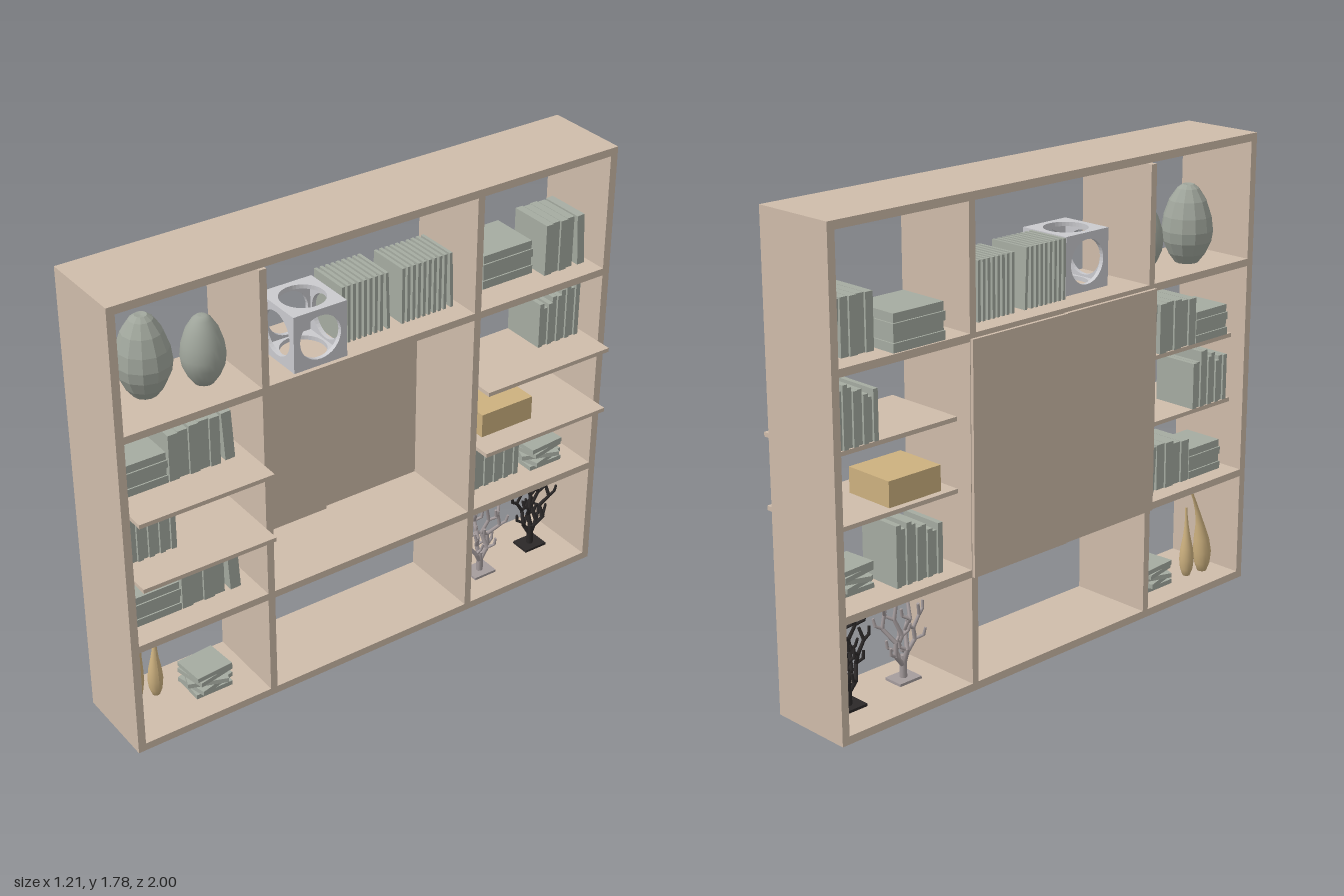
import * as THREE from 'three';
import { mergeGeometries } from 'three/addons/utils/BufferGeometryUtils.js';

const mat = (name, color) => {
  const m = new THREE.MeshStandardMaterial({ color });
  m.name = name;
  return m;
};

export function createModel() {
  const wood = mat('pale wood', 0xcfbcaa);
  const paper = mat('grey green', 0xa5aba1);
  const glaze = mat('vase grey', 0x9fa59b);
  const white = mat('light grey', 0xcacace);
  const gold = mat('gold', 0xcdb17f);
  const silver = mat('silver coral', 0xa59c9d);
  const black = mat('black coral', 0x2b2828);

  // Unit is built along x with its open front on +z, then turned
  const unit = new THREE.Group();
  unit.name = 'shelfUnit';
  const add = (name, geo, material, parent = unit) => {
    const m = new THREE.Mesh(geo, material);
    m.name = name;
    parent.add(m);
    return m;
  };
  const box = (name, x0, x1, y0, y1, z0, z1, material, parent) => {
    const m = add(name, new THREE.BoxGeometry(x1 - x0, y1 - y0, z1 - z0), material, parent);
    m.position.set((x0 + x1) / 2, (y0 + y1) / 2, (z0 + z1) / 2);
    return m;
  };
  const group = (name) => {
    const g = new THREE.Group();
    g.name = name;
    unit.add(g);
    return g;
  };

  // Carcass
  const D = 0.167, L = 1.025;
  box('topPanel', -L, L, 1.75, 1.78, -D, D, wood);
  box('bottomPanel', -L, L, 0, 0.03, -D, D, wood);
  for (const s of [-1, 1]) box('endPanel', s * 1.01 - 0.015, s * 1.01 + 0.015, 0.03, 1.75, -D, D, wood);
  box('rightDivider', -0.474, -0.446, 0.03, 1.742, -D, D, wood);
  box('leftDivider', 0.407, 0.435, 0.03, 1.75, -D, D, wood);
  const bays = [[-0.995, -0.474], [-0.446, 0.407], [0.435, 0.995]];
  for (const [a, b] of bays)
    for (const y of [0.432, 1.276]) box('fixedShelf', a, b, y, y + 0.028, -D, D, wood);

  // Thin shelves that project at the front
  for (const i of [0, 2])
    for (const y of [0.724, 0.984]) box('slidingShelf', bays[i][0], bays[i][1], y, y + 0.016, -0.1, 0.23, wood);

  // Back doors, one set behind the other
  box('nearDoor', -0.474, -0.012, 0.436, 1.288, -0.18, -0.152, wood);
  box('farDoor', -0.012, 0.437, 0.436, 1.288, -0.184, -0.172, wood);

  // Row of upright books, the last one may lean
  const uprightBooks = (x0, x1, y, z0, z1, heights, lean = 0) => {
    const g = group('uprightBooks'), step = (x1 - x0) / heights.length;
    heights.forEach((h, i) => {
      const a = x0 + i * step, dz = (i % 2) * 0.006;
      const b = box('book', a + 0.001, a + step - 0.001, y, y + h, z0 + dz, z1 - dz, paper, g);
      if (lean && i === heights.length - 1) {
        b.rotation.z = lean;
        b.position.x += 0.014;
      }
    });
  };
  uprightBooks(0.783, 0.95, 1.304, -0.09, 0.09, [0.2, 0.2, 0.2, 0.2, 0.2], 0.06);
  uprightBooks(-0.786, -0.545, 1, -0.1, 0.07, [0.18, 0.18, 0.19, 0.19, 0.19, 0.19], 0.06);
  uprightBooks(-0.765, -0.545, 0.46, -0.1, 0.07, [0.165, 0.165, 0.18, 0.18, 0.18], 0.06);
  const jagged = [0.18, 0.155, 0.17, 0.19, 0.19, 0.205, 0.22, 0.2, 0.22];
  uprightBooks(-0.975, -0.78, 0.74, -0.1, 0.085, [0.18, 0.18, 0.165, 0.2, 0.19, 0.22, 0.22, 0.18, 0.18]);
  uprightBooks(0.78, 0.97, 1, -0.1, 0.08, jagged);
  uprightBooks(0.515, 0.725, 0.46, -0.11, 0.066, jagged.map((h) => h + 0.005));

  // Ribbed rows: covers stand proud of the pages
  const ribbedBooks = (x0, y, n, h) => {
    const g = group('ribbedBooks'), p = 0.0225;
    for (let i = 0; i < n; i++) {
      const a = x0 + i * p;
      box('cover', a, a + 0.012, y, y + h, -0.09, 0.08, paper, g);
      box('pages', a + 0.012, a + p, y + 0.004, y + h - 0.008, -0.068, 0.056, paper, g);
    }
    const end = box('cover', x0 + n * p + 0.004, x0 + n * p + 0.016, y, y + h, -0.09, 0.08, paper, g);
    end.rotation.z = 0.04;
  };
  ribbedBooks(-0.095, 1.304, 8, 0.22);
  ribbedBooks(0.155, 1.304, 9, 0.215);

  // Flat book piles: neat blocks and loosely turned stacks
  const pile = (x0, x1, y, z0, z1, h, n, twist = 0) => {
    const g = group('bookPile'), t = h / n;
    for (let i = 0; i < n; i++) {
      const inset = twist ? 0 : (i % 2) * 0.004;
      const b = box('flatBook', x0 + inset, x1 - inset, y + i * t, y + (i + 1) * t - 0.001, z0 + inset, z1 - inset, paper, g);
      b.rotation.y = twist * Math.sin(i * 2.3);
    }
  };
  pile(0.537, 0.762, 1.304, -0.16, 0.045, 0.132, 4);
  pile(-0.97, -0.79, 1, -0.1, 0.07, 0.12, 4);
  pile(-0.95, -0.768, 0.46, -0.1, 0.07, 0.12, 4);
  pile(-0.725, -0.575, 0.03, -0.065, 0.065, 0.095, 5, 0.35);
  pile(0.77, 0.92, 0.46, -0.045, 0.085, 0.095, 5, 0.35);

  // Gold storage box
  box('goldBox', 0.49, 0.722, 0.74, 0.835, -0.075, 0.13, gold);

  // Rounded vases
  const vase = (x, z, r, h, sides, faceted) => {
    const pts = [[0, 0], [0.45, 0], [0.72, 0.12], [0.94, 0.28], [1, 0.42], [0.93, 0.6], [0.72, 0.8], [0.42, 0.95], [0.22, 1], [0, 0.99]]
      .map(([a, b]) => new THREE.Vector2(a * r, b * h));
    let geo = new THREE.LatheGeometry(pts, sides);
    if (faceted) {
      geo = geo.toNonIndexed();
      geo.computeVertexNormals();
    }
    add('roundVase', geo, glaze).position.set(x, 1.304, z);
  };
  vase(-0.803, -0.03, 0.098, 0.295, 12, true);
  vase(-0.605, 0.015, 0.078, 0.25, 24, false);

  // Slender gold bottles with bent necks
  const bottle = (x, z, r, h, bend) => {
    const pts = [[0, 0], [0.5, 0], [0.85, 0.1], [1, 0.24], [0.85, 0.4], [0.5, 0.58], [0.27, 0.75], [0.17, 0.9], [0.15, 1], [0, 1]]
      .map(([a, b]) => new THREE.Vector2(a * r, b * h));
    const geo = new THREE.LatheGeometry(pts, 16), p = geo.attributes.position;
    for (let i = 0; i < p.count; i++) p.setX(i, p.getX(i) + bend * (p.getY(i) / h) ** 2.5);
    geo.computeVertexNormals();
    add('slenderBottle', geo, gold).position.set(x, 0.03, z);
  };
  bottle(-0.91, -0.06, 0.036, 0.34, -0.0 + 0.07);
  bottle(-0.828, -0.05, 0.029, 0.285, 0.01);

  // Hollow cube with a round opening in every face
  const S = 0.214, T = 0.016;
  const face = new THREE.Shape([[-1, -1], [1, -1], [1, 1], [-1, 1]].map(([a, b]) => new THREE.Vector2(a * S / 2, b * S / 2)));
  face.holes.push(new THREE.Path().absarc(0, 0, 0.082, 0, Math.PI * 2, true));
  const plate = new THREE.ExtrudeGeometry(face, { depth: T, bevelEnabled: false, curveSegments: 20 });
  plate.translate(0, 0, S / 2 - T);
  const cube = group('openCube');
  cube.position.set(-0.23, 1.304 + S / 2, 0.043);
  for (let i = 0; i < 4; i++) add('cubeSide', plate, white, cube).rotation.y = i * Math.PI / 2;
  for (const s of [-1, 1]) add('cubeCap', plate, white, cube).rotation.x = s * Math.PI / 2;

  // Branching coral on a small plinth
  const coral = (x, z, material, seed) => {
    const rnd = () => (seed = (seed * 16807) % 2147483647) / 2147483647;
    const parts = [];
    const limb = (a, b, r) => {
      const d = b.clone().sub(a);
      const c = new THREE.CylinderGeometry(r * 0.85, r, d.length() + r * 0.6, 6);
      c.applyQuaternion(new THREE.Quaternion().setFromUnitVectors(new THREE.Vector3(0, 1, 0), d.normalize()));
      const m = a.clone().add(b).multiplyScalar(0.5);
      parts.push(c.translate(m.x, m.y, m.z));
    };
    const base = new THREE.Vector3(0, 0.005, 0), fork = new THREE.Vector3(0, 0.09, 0);
    limb(base, fork, 0.014);
    for (const [side, top] of [[-0.075, 0.27], [-0.03, 0.35], [0.03, 0.36], [0.08, 0.31]]) {
      let p = fork.clone().setY(0.05 + rnd() * 0.04);
      const n = 5, y0 = p.y;
      for (let i = 1; i <= n; i++) {
        const t = i / n;
        const q = new THREE.Vector3(
          side * Math.sqrt(t) + (i % 2 ? 0.009 : -0.009),
          y0 + (top - y0) * t,
          (rnd() - 0.5) * 0.06 * t + Math.sign(rnd() - 0.5) * 0.012);
        limb(p, q, 0.0105 - 0.004 * t);
        // side twig with a bent tip
        const s = i % 2 ? 1 : -1;
        const k = q.clone().add(new THREE.Vector3(s * 0.024, 0.014, (rnd() - 0.5) * 0.04));
        const e = k.clone().add(new THREE.Vector3(s * 0.004, 0.026, (rnd() - 0.5) * 0.015));
        if (i < n) {
          limb(q, k, 0.0065);
          limb(k, e, 0.006);
        }
        p = q;
      }
    }
    parts.push(new THREE.BoxGeometry(0.1, 0.01, 0.08).translate(0, 0.005, 0));
    add('coral', mergeGeometries(parts), material).position.set(x, 0.03, z);
  };
  coral(0.584, 0.03, silver, 411);
  coral(0.86, 0.0, black, 977);

  unit.rotation.y = 1.1356;
  unit.position.x = -0.0225;
  const model = new THREE.Group();
  model.name = 'bookcase';
  model.add(unit);
  return model;
}
